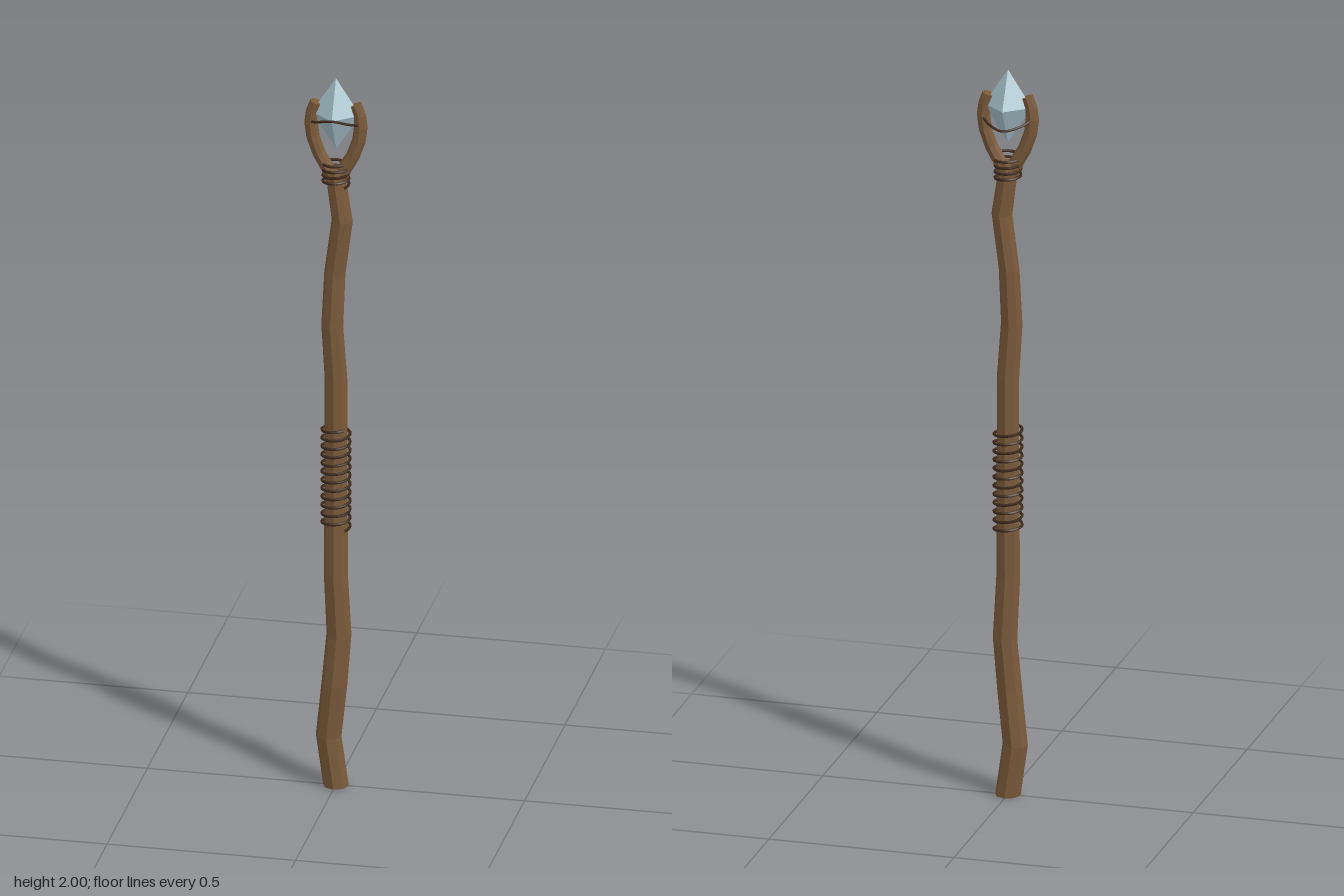
import * as THREE from 'three';

const SIDES = 8;

// Lofts a capped, tapering limb through [x, y, z, radius] stations.
function limb(stations) {
  const pos = [], index = [];
  const last = stations.length - 1;
  stations.forEach(([x, y, z, r], i) => {
    const a = stations[Math.max(i - 1, 0)], b = stations[Math.min(i + 1, last)];
    const t = new THREE.Vector2(b[0] - a[0], b[1] - a[1]).normalize();
    if (i === 0) t.set(0, 1);
    for (let s = 0; s < SIDES; s++) {
      const ang = (s / SIDES) * Math.PI * 2, c = Math.cos(ang) * r;
      pos.push(x + t.y * c, y - t.x * c, z + Math.sin(ang) * r);
    }
  });
  const base = pos.length / 3, top = base + 1;
  pos.push(...stations[0].slice(0, 3), ...stations[last].slice(0, 3));
  for (let s = 0; s < SIDES; s++) {
    const n = (s + 1) % SIDES;
    for (let i = 0; i < last; i++) {
      const lo = i * SIDES, hi = lo + SIDES;
      index.push(lo + s, hi + s, lo + n, lo + n, hi + s, hi + n);
    }
    index.push(base, s, n, top, last * SIDES + n, last * SIDES + s);
  }
  const g = new THREE.BufferGeometry();
  g.setAttribute('position', new THREE.Float32BufferAttribute(pos, 3));
  g.setIndex(index);
  const flat = g.toNonIndexed();
  flat.computeVertexNormals();
  return flat;
}

// Cord wound upwards around the staff.
function coil(y0, y1, radius, turns) {
  const pts = [];
  for (let i = 0; i <= turns * 12; i++) {
    const t = (i / 12) * Math.PI * 2 - Math.PI / 4;
    const y = y0 + (y1 - y0) * i / (turns * 12);
    pts.push(new THREE.Vector3(Math.cos(t) * radius, y, -Math.sin(t) * radius));
  }
  return new THREE.TubeGeometry(new THREE.CatmullRomCurve3(pts), turns * 20, 0.004, 5);
}

export function createModel() {
  const wood = new THREE.MeshStandardMaterial({ color: 0x7a5a3a });
  wood.name = 'wood';
  const cord = new THREE.MeshStandardMaterial({ color: 0x3e2a1c });
  cord.name = 'cord';
  const crystal = new THREE.MeshStandardMaterial({ color: 0xa9c4ce });
  crystal.name = 'crystal';

  const group = new THREE.Group();
  group.name = 'staff';
  const add = (name, geometry, material) => {
    const mesh = new THREE.Mesh(geometry, material);
    mesh.name = name;
    group.add(mesh);
  };

  // Crooked shaft
  add('shaft', limb([
    [0, 0, 0, 0.034], [-0.019, 0.14, 0.002, 0.034], [-0.003, 0.29, 0.005, 0.034],
    [0.008, 0.43, 0, 0.033], [0, 0.6, 0.002, 0.032], [0, 0.8, 0, 0.031],
    [0, 1.0, 0, 0.03], [0, 1.15, 0, 0.03], [-0.009, 1.3, 0.004, 0.029],
    [-0.003, 1.45, 0, 0.028], [0.017, 1.6, 0.002, 0.028], [0, 1.72, 0, 0.026],
    [0, 1.745, 0, 0.022],
  ]), wood);

  // Forked prongs holding the crystal
  for (const side of [1, -1]) {
    add(side > 0 ? 'leftProng' : 'rightProng', limb([
      [0.006, 1.7, 0, 0.018], [0.022, 1.745, 0, 0.019], [0.045, 1.785, 0, 0.018],
      [0.061, 1.83, 0, 0.018], [0.066, 1.87, 0, 0.018], [0.063, 1.9, 0, 0.017],
      [0.053, 1.93, 0, 0.016],
    ].map(([x, y, z, r]) => [x * side, y, z, r])), wood);
  }

  // Crystal
  const gem = new THREE.OctahedronGeometry(1);
  gem.scale(0.065, 0.1, 0.054);
  gem.translate(0, 1.9, 0);
  add('crystal', gem, crystal);

  // Cord bindings
  add('gripWrap', coil(0.73, 1.015, 0.037, 12), cord);
  add('forkWrap', coil(1.7, 1.765, 0.034, 4), cord);
  const loop = [
    [0, 1.9, 0.053], [0.043, 1.886, 0.033], [0.068, 1.872, 0],
    [0.043, 1.857, -0.033], [0, 1.847, -0.053], [-0.043, 1.857, -0.033],
    [-0.068, 1.872, 0], [-0.043, 1.886, 0.033],
  ].map((p) => new THREE.Vector3(...p));
  add('crystalTie', new THREE.TubeGeometry(
    new THREE.CatmullRomCurve3(loop, true), 40, 0.0035, 5, true), cord);

  return group;
}
